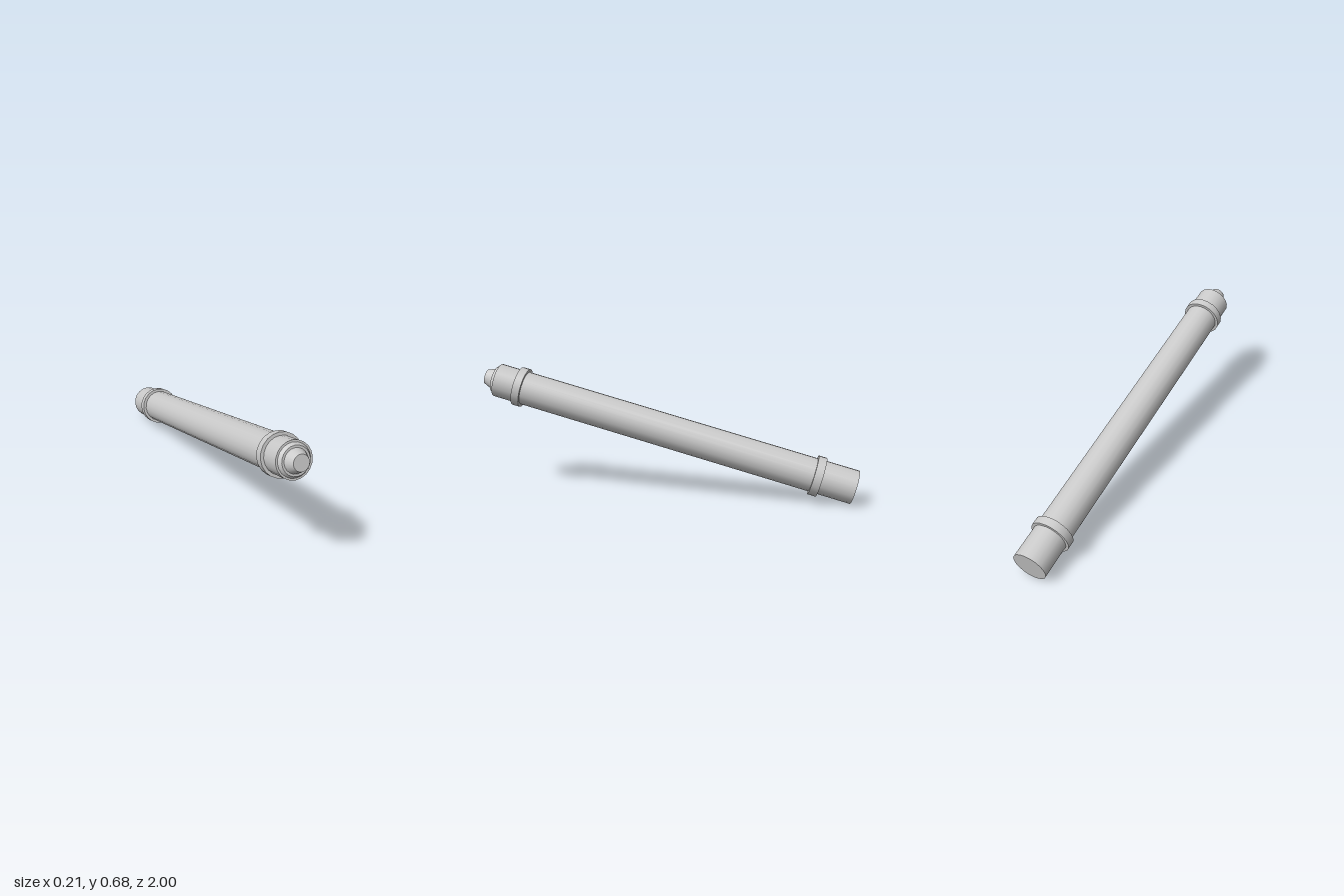
import * as THREE from 'three';

const SIDES = 20;

export function createModel() {
  const model = new THREE.Group();
  const material = new THREE.MeshStandardMaterial({ color: 0xcccccc });

  // Everything is turned around one axis; local +y runs from the back end to the tip.
  const rod = new THREE.Group();
  rod.name = 'rod';
  rod.position.set(0, 0.0865, -0.977);
  rod.rotation.x = THREE.MathUtils.degToRad(75);
  model.add(rod);

  const section = (name, from, to, rFrom, rTo = rFrom) => {
    const geometry = new THREE.CylinderGeometry(rTo, rFrom, to - from, SIDES);
    const mesh = new THREE.Mesh(geometry, material);
    mesh.name = name;
    mesh.position.y = (from + to) / 2;
    rod.add(mesh);
  };

  // Long tube with a raised band near each end
  section('tube', 0, 1.971, 0.0895);
  section('backCollar', 0.178, 0.222, 0.105);
  section('frontCollar', 1.815, 1.857, 0.105);

  // Stepped, tapering nose
  section('noseStep', 1.971, 1.989, 0.08, 0.069);
  section('noseTip', 1.989, 2.037, 0.058, 0.039);

  return model;
}
